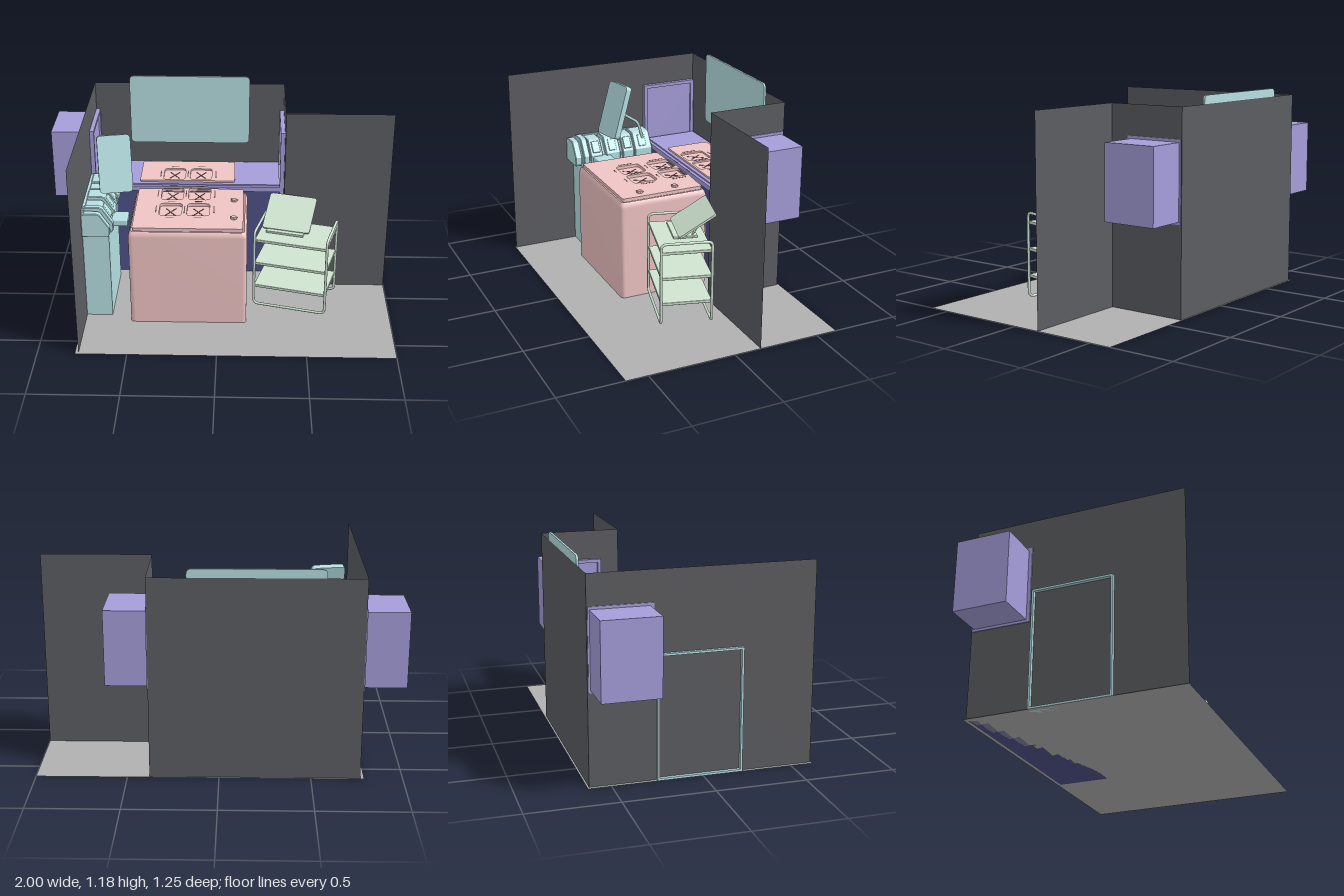
import * as THREE from 'three';
import { RoundedBoxGeometry } from 'three/addons/geometries/RoundedBoxGeometry.js';

const paint = (color, side = THREE.FrontSide) => new THREE.MeshStandardMaterial({ color, side });
const teal = paint(0xb6dfe2), pink = paint(0xf0c4c4), purple = paint(0xa59dda), navy = paint(0x4f5187);
const green = paint(0xcfe4d0), mark = paint(0x6b5252);
const wallMat = paint(0x5c5d61, THREE.DoubleSide), floorMat = paint(0xb0b0b0, THREE.DoubleSide);

function add(parent, name, geometry, material, x = 0, y = 0, z = 0) {
  const m = new THREE.Mesh(geometry, material);
  m.name = name;
  m.position.set(x, y, z);
  parent.add(m);
  return m;
}

// Box given by its limits
function block(parent, name, mat, x0, x1, y0, y1, z0, z1, r = 0) {
  const s = [x1 - x0, y1 - y0, z1 - z0];
  const g = r ? new RoundedBoxGeometry(...s, 3, r) : new THREE.BoxGeometry(...s);
  return add(parent, name, g, mat, (x0 + x1) / 2, (y0 + y1) / 2, (z0 + z1) / 2);
}

function roundedRect(w, h, r, T = THREE.Shape) {
  const s = new T(), x = w / 2, y = h / 2;
  s.moveTo(-x + r, -y);
  s.lineTo(x - r, -y); s.quadraticCurveTo(x, -y, x, -y + r);
  s.lineTo(x, y - r); s.quadraticCurveTo(x, y, x - r, y);
  s.lineTo(-x + r, y); s.quadraticCurveTo(-x, y, -x, y - r);
  s.lineTo(-x, -y + r); s.quadraticCurveTo(-x, -y, -x + r, -y);
  return s;
}

// Centred slab with rounded corners, facing z
function slab(w, h, d, r) {
  const g = new THREE.ExtrudeGeometry(roundedRect(w, h, r), { depth: d, bevelEnabled: false, curveSegments: 6 });
  return g.translate(0, 0, -d / 2);
}

// Rectangular ring in the z-y plane with thickness along x
function ringX(w, h, t, d) {
  const s = roundedRect(w, h, 0.001);
  s.holes.push(roundedRect(w - 2 * t, h - 2 * t, 0.001, THREE.Path));
  return new THREE.ExtrudeGeometry(s, { depth: d, bevelEnabled: false }).translate(0, 0, -d / 2).rotateY(Math.PI / 2);
}

// Rounded pipe through corner points
function pipe(points, r, bend, closed) {
  const p = points.map(a => new THREE.Vector3(...a)), n = p.length, path = new THREE.CurvePath();
  const toward = (a, b) => a.clone().add(b.clone().sub(a).setLength(bend));
  for (let i = 0; i < n; i++) {
    const a = p[i], b = p[(i + 1) % n], c = p[(i + 2) % n];
    if (!closed && i === n - 1) break;
    const last = !closed && i === n - 2;
    path.add(new THREE.LineCurve3(!closed && i === 0 ? a : toward(a, b), last ? b : toward(b, a)));
    if (!last) path.add(new THREE.QuadraticBezierCurve3(toward(b, a), b, toward(b, c)));
  }
  return new THREE.TubeGeometry(path, 50 * n, r, 8, closed);
}

// Flat plate with recessed cells, marked with crossing creases
function cellPlate(parent, x0, x1, y0, y1, z0, z1, rows) {
  const w = x1 - x0, d = z1 - z0, cx = (x0 + x1) / 2, cz = (z0 + z1) / 2;
  const s = roundedRect(w, d, 0.015), columns = [-0.28, -0.12];
  const g = new THREE.Group();
  g.name = 'cellPlate';
  for (const z of rows) for (const x of columns) {
    const hole = roundedRect(0.13, 0.15, 0.025, THREE.Path).getPoints(4);
    s.holes.push(new THREE.Path(hole.map(p => new THREE.Vector2(p.x + x - cx, p.y - (z - cz)))));
    for (const a of [-1, 1]) {
      add(g, 'crease', new THREE.BoxGeometry(0.006, 0.002, 0.1), mark, x, y0 + 0.002, z).rotation.y = a * 0.6;
      add(g, 'dash', new THREE.BoxGeometry(0.045, 0.002, 0.006), mark, x, y1, z + a * 0.1).visible = z + a * 0.1 < z1;
    }
  }
  for (const z of rows) for (const x of [-0.365, -0.2, -0.03])
    add(g, 'tick', new THREE.BoxGeometry(0.006, 0.002, 0.085), mark, x, y1, z);
  const top = new THREE.ExtrudeGeometry(s, { depth: y1 - y0, bevelEnabled: false, curveSegments: 4 }).rotateX(-Math.PI / 2);
  add(g, 'plate', top, pink, cx, y0, cz);
  block(g, 'plateBase', pink, x0 + 0.005, x1 - 0.005, y0 - 0.004, y0 + 0.001, z0 + 0.005, z1 - 0.005);
  parent.add(g);
}

function room(root) {
  add(root, 'floor', new THREE.PlaneGeometry(1.79, 1.25).rotateX(-Math.PI / 2), floorMat, 0.105, 0, 0);
  const corners = [[-0.77, 0.62], [-0.77, -0.615], [0.38, -0.615], [0.38, -0.155], [1, -0.155]];
  for (let i = 0; i < 4; i++) {
    const [ax, az] = corners[i], [bx, bz] = corners[i + 1];
    const wall = new THREE.PlaneGeometry(Math.hypot(bx - ax, bz - az), 1.13);
    add(root, 'wall', wall, wallMat, (ax + bx) / 2, 0.565, (az + bz) / 2).rotation.y = Math.atan2(az - bz, bx - ax);
  }
  // Boxes set through both side walls, with frames indoors
  for (const [a, b, f] of [[-1, -0.757, -0.76], [0.373, 0.61, 0.37]]) {
    block(root, 'wallBox', purple, a, b, 0.525, 0.945, -0.6, -0.285);
    add(root, 'wallBoxFrame', ringX(0.345, 0.45, 0.02, 0.03), purple, f, 0.735, -0.437);
  }
  add(root, 'wallScreen', slab(0.73, 0.435, 0.012, 0.03), teal, -0.195, 0.96, -0.608);
}

function counter(root) {
  block(root, 'counterBase', navy, -0.76, 0.355, 0, 0.58, -0.605, -0.3);
  block(root, 'counterTop', purple, -0.765, 0.372, 0.575, 0.605, -0.612, -0.265);
  block(root, 'counterInlay', purple, -0.74, 0.355, 0.6, 0.613, -0.605, -0.285);
  cellPlate(root, -0.485, 0.085, 0.615, 0.626, -0.575, -0.305, [-0.395]);
}

function table(root) {
  // Body lofted through rounded outlines that shrink at the top edge
  const levels = [[0, 0], [0.555, 0], [0.575, 0.006], [0.588, 0.015]];
  const ring = roundedRect(0.67, 0.54, 0.025).getPoints(4), pos = [], idx = [], n = ring.length;
  for (const [y, inset] of levels) for (const p of ring)
    pos.push(p.x * (1 - inset / 0.335) - 0.172, y, -p.y * (1 - inset / 0.27) + 0.018);
  for (let k = 0; k < levels.length - 1; k++) for (let i = 0; i < n - 1; i++) {
    const a = k * n + i;
    idx.push(a, a + 1, a + n, a + 1, a + n + 1, a + n);
  }
  const g = new THREE.BufferGeometry();
  g.setAttribute('position', new THREE.Float32BufferAttribute(pos, 3));
  g.setIndex(idx);
  g.computeVertexNormals();
  add(root, 'tableBody', g, paint(0xf0c4c4, THREE.DoubleSide));
  cellPlate(root, -0.485, 0.14, 0.588, 0.607, -0.23, 0.266, [-0.185 + 0.02, 0.035]);
  for (const z of [-0.08, 0.14]) {
    add(root, 'knob', new THREE.CylinderGeometry(0.014, 0.018, 0.014, 10), pink, 0.085, 0.613, z);
    for (let i = 0; i < 5; i++) {
      const a = i * Math.PI * 0.4;
      add(root, 'knobGrip', new THREE.SphereGeometry(0.006, 8, 6), pink, 0.085 + 0.016 * Math.cos(a), 0.613, z + 0.016 * Math.sin(a));
    }
  }
}

function sideConsole(root) {
  block(root, 'cabinet', teal, -0.765, -0.62, 0, 0.57, -0.25, 0.22);
  add(root, 'cabinetRim', ringX(0.47, 0.69, 0.012, 0.035), teal, -0.772, 0.345, -0.015);
  block(root, 'cabinetTray', teal, -0.63, -0.52, 0.55, 0.59, 0.03, 0.145, 0.008);
  // Sloped control modules in a row: start, end, scale
  const profile = [[-0.765, 0.545], [-0.615, 0.545], [-0.605, 0.56], [-0.605, 0.6], [-0.66, 0.685], [-0.675, 0.692], [-0.75, 0.692], [-0.765, 0.68]];
  const modules = [[-0.25, -0.135, 1], [-0.13, -0.055, 0.95], [-0.055, -0.035, 0.86], [-0.035, 0.06, 1], [0.06, 0.08, 0.85],
    [0.08, 0.16, 0.95], [0.16, 0.172, 0.86], [0.172, 0.21, 1.04], [0.21, 0.22, 0.9], [0.22, 0.262, 0.95]];
  for (const [a, b, k] of modules) {
    const s = new THREE.Shape(profile.map(([x, y]) => new THREE.Vector2(-0.765 + (x + 0.765) * k, 0.545 + (y - 0.545) * k)));
    const g = new THREE.ExtrudeGeometry(s, { depth: b - a - 0.008, bevelSize: 0.003, bevelThickness: 0.004, bevelSegments: 1 });
    add(root, 'consoleModule', g, teal, 0, 0, a + 0.004);
  }
  for (const z of [-0.19, -0.09, 0.012, 0.12]) {
    const panel = add(root, 'consolePanel', new RoundedBoxGeometry(0.075, 0.012, 0.05, 2, 0.005), teal, -0.634, 0.645, z);
    panel.rotation.z = -0.99;
  }
  const monitor = add(root, 'monitor', slab(0.19, 0.33, 0.036, 0.025), teal, -0.595, 0.88, 0.005);
  monitor.rotation.set(-0.3, 0.19, 0, 'YXZ');
  add(root, 'monitorArm', pipe([[-0.6, 0.875, -0.01], [-0.63, 0.77, -0.165], [-0.64, 0.66, -0.2]], 0.009, 0.03, false), teal);
}

function cart(root) {
  const g = new THREE.Group();
  g.name = 'cart';
  g.position.set(0.447, 0, 0.06);
  g.rotation.y = -0.262;
  const x = 0.212, z = 0.14, lo = 0.047, hi = 0.52;
  // One continuous pipe: two bottom rails joined by two arches
  add(g, 'cartFrame', pipe([[-x, lo, z], [x, lo, z], [x, hi, z], [x, hi, -z], [x, lo, -z], [-x, lo, -z], [-x, hi, -z], [-x, hi, z]], 0.008, 0.03, true), green);
  for (const y of [0.165, 0.315, 0.465]) block(g, 'cartShelf', green, -x, x, y - 0.009, y + 0.009, -z, z, 0.004);
  // Tablet on a folding stand
  const tablet = add(g, 'tablet', slab(0.28, 0.24, 0.012, 0.02), green, -0.06, 0.552, -0.085);
  tablet.rotation.x = -Math.PI / 2 + 0.56;
  const lip = block(g, 'tabletBase', green, -0.17, 0.05, 0.474, 0.488, -0.09, 0.045, 0.004);
  lip.name = 'tabletBase';
  for (const sx of [-0.15, 0.03])
    add(g, 'tabletStand', pipe([[sx, 0.48, -0.06], [sx, 0.585, -0.13], [sx, 0.48, -0.14]], 0.005, 0.015, false), green);
  root.add(g);
}

export function createModel() {
  const root = new THREE.Group();
  root.name = 'controlRoom';
  for (const part of [room, counter, table, sideConsole, cart]) part(root);
  return root;
}
